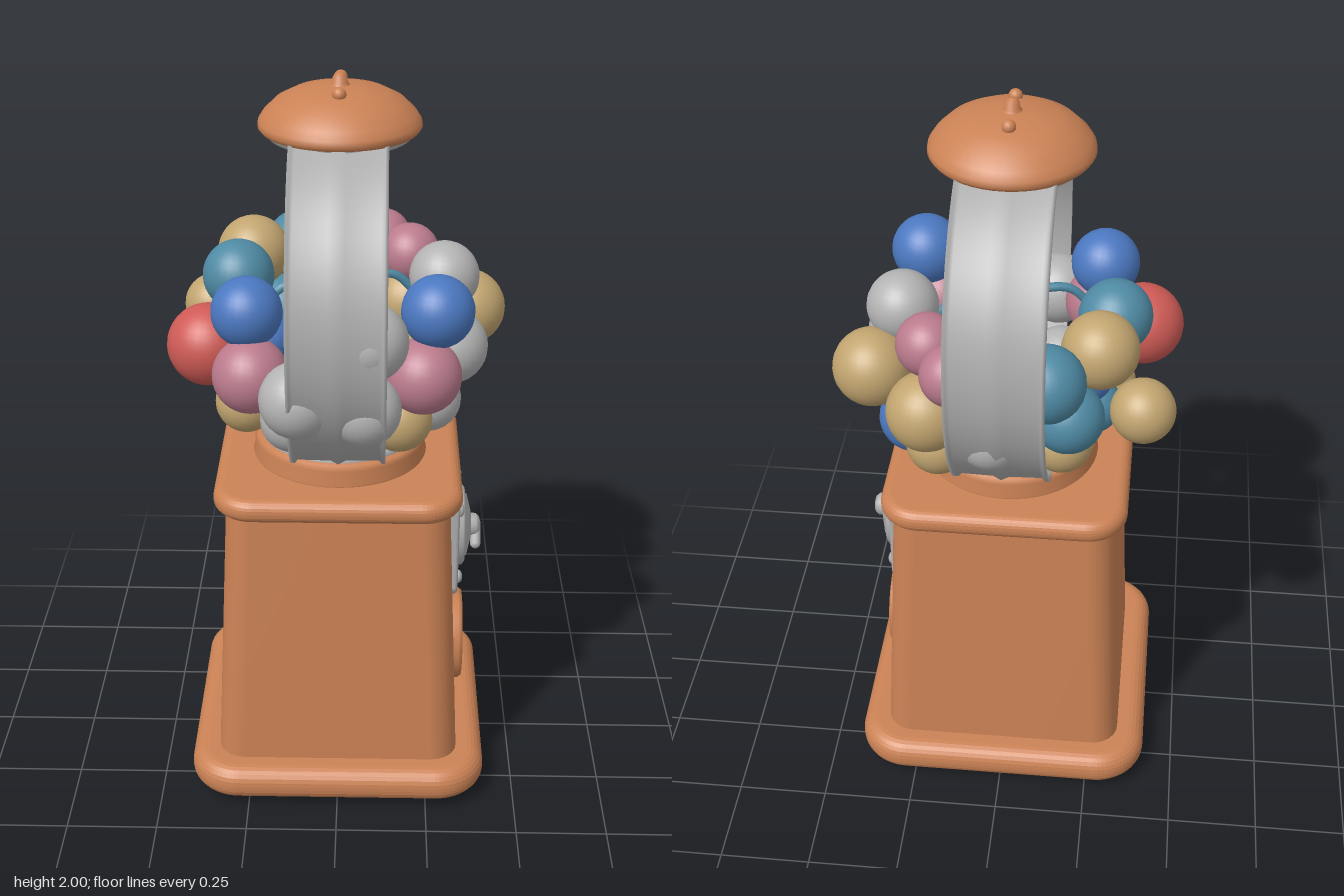
import * as THREE from 'three';

const mat = (name, color, side = THREE.FrontSide) => {
  const m = new THREE.MeshStandardMaterial({ color, side });
  m.name = name;
  return m;
};

export function createModel() {
  const model = new THREE.Group();
  model.name = 'gumballMachine';
  const paint = mat('orange paint', 0xcb8255, THREE.DoubleSide);
  const metal = mat('grey metal', 0xaeaeae, THREE.DoubleSide);
  const dark = mat('dark inside', 0x3c3c42, THREE.DoubleSide);
  const white = mat('white gum', 0xb4b4b4);
  const tan = mat('tan gum', 0xc2a570);
  const pink = mat('pink gum', 0xbb7b8d);
  const blue = mat('blue gum', 0x4b78c0);
  const teal = mat('teal gum', 0x4f8aa4);
  const red = mat('red gum', 0xcf5b56);

  const add = (name, geo, material, x = 0, y = 0, z = 0, parent = model) => {
    const mesh = new THREE.Mesh(geo, material);
    mesh.name = name;
    mesh.position.set(x, y, z);
    parent.add(mesh);
    return mesh;
  };
  const lathe = (pts, seg = 48) =>
    new THREE.LatheGeometry(pts.map(([r, y]) => new THREE.Vector2(r, y)), seg);

  // Rounded slab lying flat, standing on y = 0
  const slab = (half, corner, height, bevel) => {
    const a = half - bevel, r = corner - bevel;
    const s = new THREE.Shape();
    s.absarc(a - r, a - r, r, 0, Math.PI / 2);
    s.absarc(r - a, a - r, r, Math.PI / 2, Math.PI);
    s.absarc(r - a, r - a, r, Math.PI, Math.PI * 1.5);
    s.absarc(a - r, r - a, r, Math.PI * 1.5, Math.PI * 2);
    const g = new THREE.ExtrudeGeometry(s, {
      depth: height - 2 * bevel, bevelThickness: bevel, bevelSize: bevel, bevelSegments: 6, curveSegments: 8,
    });
    return g.translate(0, 0, bevel).rotateX(-Math.PI / 2);
  };

  // Base, feet and top plate
  add('base', slab(0.415, 0.14, 0.1, 0.045), paint, 0, 0.022, 0);
  for (const x of [-1, 1]) for (const z of [-1, 1])
    add('foot', new THREE.CylinderGeometry(0.052, 0.045, 0.03, 24), dark, x * 0.265, 0.015, z * 0.265);
  add('topPlate', slab(0.335, 0.11, 0.065, 0.03), paint, 0, 0.875, 0);

  // Tapered body: three walls and corners as a strip, the chute wall as a shape with a hole
  const y0 = 0.11, y1 = 0.885, r = 0.075;
  const half = (y) => 0.338 - 0.036 * (y - y0) / (y1 - y0);
  const pos = [], index = [];
  for (let q = 0; q < 4; q++) for (let i = 0; i <= 6; i++) {
    const mid = (q + 0.5) * Math.PI / 2, a = (q + i / 6) * Math.PI / 2;
    for (const y of [y0, y1]) {
      const c = half(y) - r;
      pos.push(Math.sign(Math.cos(mid)) * c + r * Math.cos(a), y, Math.sign(Math.sin(mid)) * c + r * Math.sin(a));
    }
  }
  for (let i = 0; i < 27; i++) {
    const b = 2 * i;
    index.push(b, b + 1, b + 2, b + 1, b + 3, b + 2);
  }
  const walls = new THREE.BufferGeometry();
  walls.setAttribute('position', new THREE.Float32BufferAttribute(pos, 3));
  walls.setIndex(index);
  walls.computeVertexNormals();
  add('bodyWalls', walls, paint);

  const w0 = half(y0) - r, w1 = half(y1) - r, chuteY = 0.33;
  const face = new THREE.Shape([[-w0, y0], [w0, y0], [w1, y1], [-w1, y1]].map((p) => new THREE.Vector2(...p)));
  const hole = new THREE.Path();
  hole.absellipse(0, chuteY, 0.105, 0.113, 0, Math.PI * 2, true);
  face.holes.push(hole);
  const faceGeo = new THREE.ShapeGeometry(face, 24).rotateY(Math.PI / 2);
  const fp = faceGeo.attributes.position;
  for (let i = 0; i < fp.count; i++) fp.setX(i, half(fp.getY(i)));
  faceGeo.computeVertexNormals();
  add('chuteWall', faceGeo, paint);

  // Chute: dark cup and raised rim
  const cup = lathe([[0, 0], [0.08, 0.005], [0.112, 0.04], [0.116, 0.16]]).rotateZ(-Math.PI / 2).scale(1, 1, 0.93);
  add('chuteCup', cup, dark, 0.175, chuteY, 0);
  const rim = lathe([[0.112, 0], [0.112, 0.03], [0.118, 0.041], [0.128, 0.041], [0.135, 0.03], [0.137, 0]]);
  add('chuteRim', rim.rotateZ(-Math.PI / 2).scale(1, 1, 0.94), paint, 0.315, chuteY, 0);

  // Coin mechanism, built flat and turned to face +x
  const coin = new THREE.Group();
  coin.name = 'coinMechanism';
  coin.position.set(0.302, 0.697, 0);
  coin.rotation.z = -Math.PI / 2;
  model.add(coin);
  add('coinPlate', slab(0.153, 0.035, 0.032, 0.01), metal, 0, 0, 0, coin);
  for (const x of [-1, 1]) for (const z of [-1, 1])
    add('screw', new THREE.SphereGeometry(0.02, 16, 10).scale(1, 0.7, 1), metal, x * 0.107, 0.032, z * 0.11, coin);
  add('dial', lathe([[0.118, 0.02], [0.115, 0.045], [0.105, 0.052], [0.092, 0.048],
    [0.088, 0.058], [0.04, 0.07], [0, 0.07]]), metal, 0, 0, 0, coin);
  add('crankHub', lathe([[0.034, 0.06], [0.032, 0.085], [0.022, 0.095], [0, 0.098]], 24), metal, 0, 0, 0, coin);
  const handle = add('crankHandle', new THREE.CapsuleGeometry(0.015, 0.06, 6, 12).rotateZ(Math.PI / 2),
    metal, 0.02, 0.084, 0.014, coin);
  handle.rotation.y = -0.6;

  // Neck and flange under the globe
  add('neck', lathe([[0.235, 0.935], [0.24, 0.945], [0.232, 0.96], [0.235, 0.985],
    [0.228, 1.0], [0.2, 1.004], [0, 1.004]]), paint);
  add('flange', lathe([[0.215, 1.0], [0.215, 1.018], [0.19, 1.025], [0, 1.02]]), metal);

  // Globe band with a middle rib and raised edges
  const band = lathe([[0.452, -0.124], [0.47, -0.125], [0.47, -0.116], [0.461, -0.108], [0.463, -0.02],
    [0.473, 0], [0.463, 0.02], [0.461, 0.108], [0.47, 0.116], [0.47, 0.125], [0.452, 0.124],
    [0.45, 0.02], [0.45, -0.02], [0.452, -0.124]], 96);
  add('globeBand', band.rotateZ(Math.PI / 2), metal, 0, 1.42, 0);

  // Lid with its ornament
  add('lid', lathe([[0.185, 1.852], [0.203, 1.855], [0.211, 1.866], [0.209, 1.88], [0.196, 1.9],
    [0.165, 1.93], [0.12, 1.953], [0.06, 1.967], [0, 1.97]]), paint);
  add('lidUnderside', new THREE.CircleGeometry(0.187, 48).rotateX(Math.PI / 2), dark, 0, 1.85, 0);
  add('lidCollar', lathe([[0.17, 1.852], [0.17, 1.838], [0.183, 1.838], [0.183, 1.852]]), metal);
  add('finial', lathe([[0.03, 1.963], [0.02, 1.975], [0.018, 1.99], [0.009, 1.999], [0, 2.0]], 20), paint);
  for (const z of [-0.085, 0.085])
    add('lidStud', new THREE.SphereGeometry(0.018, 16, 10), paint, 0, 1.966, z);

  // Centre rod and stirring arms
  add('centreRod', new THREE.CylinderGeometry(0.011, 0.011, 0.83, 16), metal, 0, 1.435, 0);
  add('rodCollar', new THREE.CylinderGeometry(0.018, 0.018, 0.04, 16), metal, 0, 1.82, 0);
  for (let i = 0; i < 4; i++) {
    const path = new THREE.CatmullRomCurve3([[0, 1.4, 0], [0.06, 1.44, 0.01], [0.15, 1.44, 0.03], [0.21, 1.38, 0.05]]
      .map((p) => new THREE.Vector3(...p)));
    add('stirringArm', new THREE.TubeGeometry(path, 16, 0.012, 8), teal).rotation.y = 0.5 + i * Math.PI / 2;
  }

  // Gumballs: x, y, z, radius
  const balls = [
    [red, [[-0.345, 1.3, 0.11, 0.11]]],
    [blue, [[-0.235, 1.43, 0.2, 0.093], [0.255, 1.44, 0.21, 0.095], [0.25, 1.12, -0.13, 0.095],
      [-0.2, 1.25, -0.07, 0.08]]],
    [teal, [[-0.12, 1.41, -0.355, 0.1], [-0.17, 1.25, -0.27, 0.095], [-0.275, 1.43, -0.06, 0.097],
      [-0.22, 1.13, -0.04, 0.08]]],
    [pink, [[-0.225, 1.275, 0.25, 0.1], [0.19, 1.43, -0.24, 0.083], [0.115, 1.43, -0.37, 0.08],
      [0.22, 1.275, 0.245, 0.1]]],
    [tan, [[-0.36, 1.27, -0.25, 0.085], [-0.245, 1.435, -0.23, 0.1], [0.19, 1.265, -0.3, 0.105],
      [0.35, 1.3, -0.165, 0.105], [0.16, 1.13, 0.2, 0.088], [-0.25, 1.12, 0.08, 0.085],
      [-0.15, 1.12, -0.2, 0.085], [0.17, 1.13, -0.25, 0.085]]],
    [white, [[-0.1, 1.25, 0.345, 0.1], [0.08, 1.42, 0.365, 0.1], [0.28, 1.43, -0.065, 0.095],
      [0.295, 1.275, 0.05, 0.102], [0.07, 1.22, 0.335, 0.095], [0.24, 1.12, 0.05, 0.09],
      [-0.12, 1.12, 0.19, 0.088], [0.02, 1.23, -0.34, 0.09]]],
  ];
  for (const [material, list] of balls)
    for (const [x, y, z, radius] of list)
      add('gumball', new THREE.SphereGeometry(radius, 28, 18), material, x, y, z);

  return model;
}
